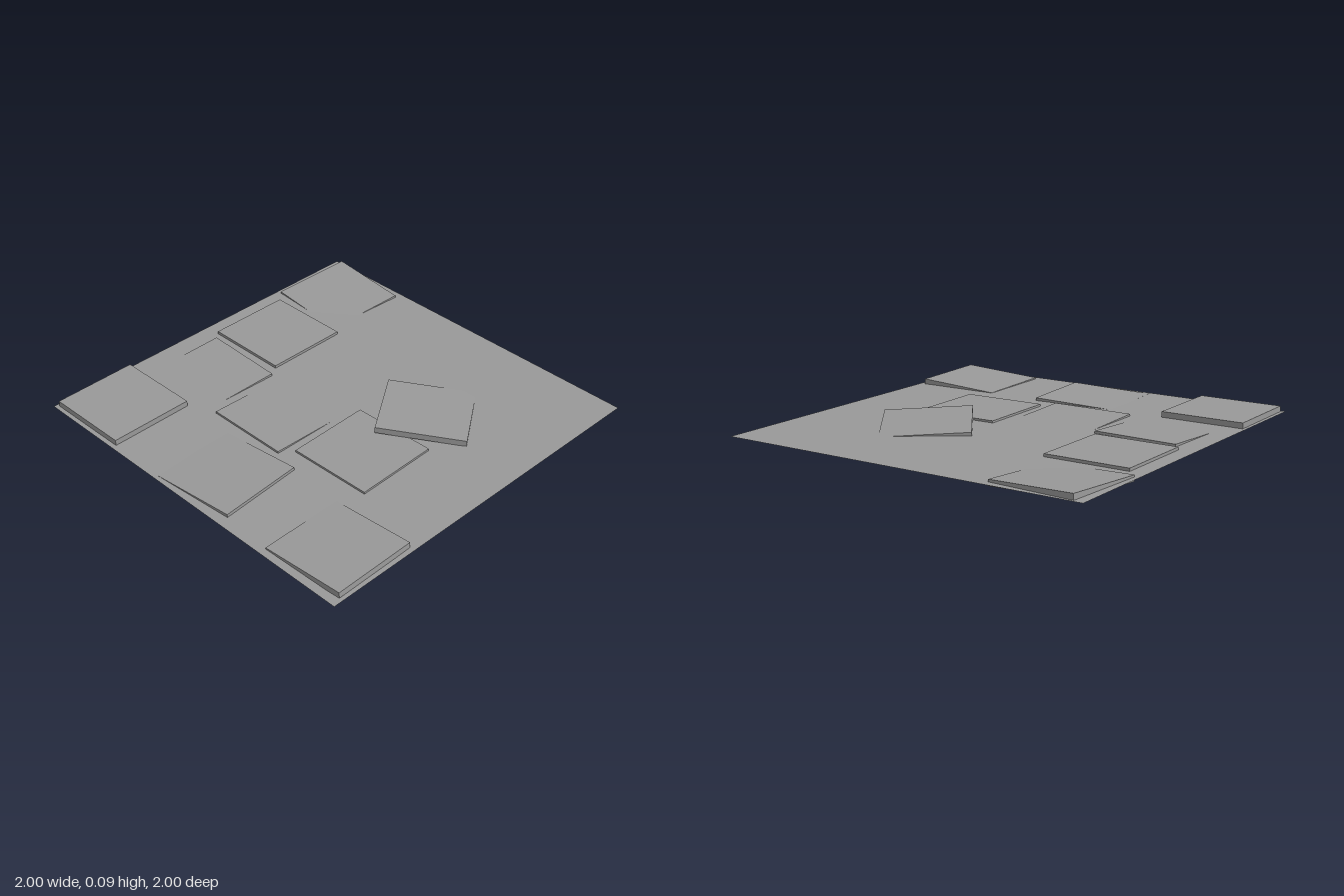
import * as THREE from 'three';

export function createModel() {
  const group = new THREE.Group();
  const stone = new THREE.MeshStandardMaterial({ color: 0x999999, side: THREE.DoubleSide });
  stone.name = 'stone grey';

  // flat ground sheet the slabs are sunk into
  const ground = new THREE.Mesh(new THREE.PlaneGeometry(2, 2).rotateX(-Math.PI / 2), stone);
  ground.name = 'groundSheet';
  ground.position.y = 0.035;
  group.add(ground);

  // loose square slabs: x, z, height of top centre, yaw, rise along x, rise along z
  const thickness = 0.03;
  const slabGeometry = new THREE.BoxGeometry(0.453, thickness, 0.453);
  const slabs = [
    [-0.735, -0.745, 0.046, -0.067, -0.036, -0.047],
    [-0.687, -0.242, 0.05, 0, 0, 0],
    [-0.658, 0.26, 0.039, -0.033, 0, -0.04],
    [-0.755, 0.75, 0.066, 0.008, 0, 0],
    [-0.157, 0.233, 0.039, 0, 0, 0.03],
    [0.342, 0.16, 0.046, 0.022, 0, 0],
    [0.007, 0.733, 0.043, 0.077, 0.035, 0],
    [0.75, 0.73, 0.053, 0.022, 0.06, 0.012],
    [0.355, -0.283, 0.0585, 0.61, 0, 0.085],
  ];
  slabs.forEach(([x, z, top, yaw, riseX, riseZ], i) => {
    const slab = new THREE.Mesh(slabGeometry, stone);
    slab.name = `slab${i + 1}`;
    slab.position.set(x, top - thickness / 2, z);
    // turn on the ground first, then tilt
    slab.rotation.set(-Math.atan(riseZ), yaw, Math.atan(riseX), 'XZY');
    group.add(slab);
  });
  return group;
}
